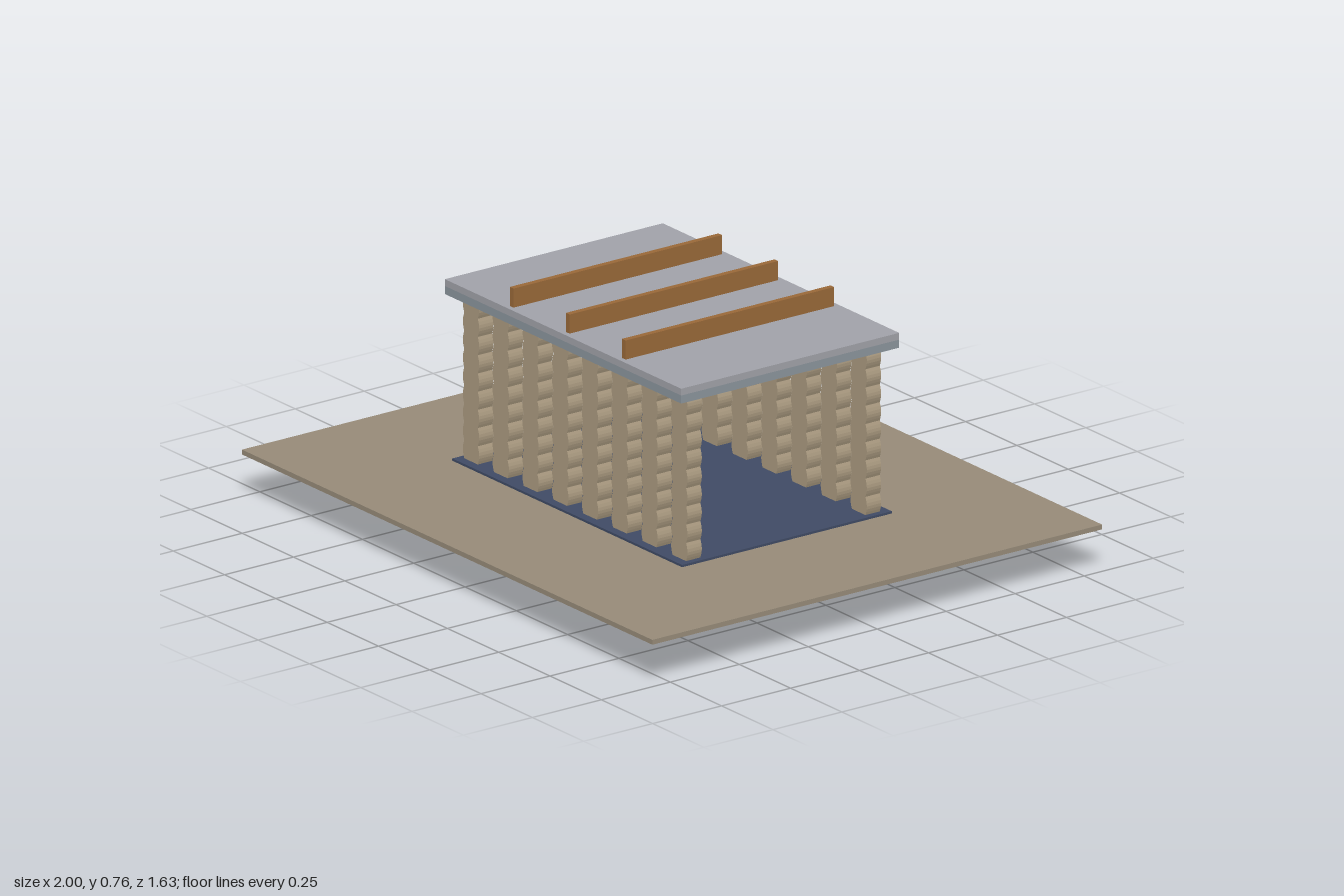
import * as THREE from 'three';

const mat = (color) => new THREE.MeshStandardMaterial({ color });
const tan = mat(0x968a78);
const stone = mat(0xaa9a80);
const ochre = mat(0xa88a2c);
const paleGrey = mat(0xa0a1a8);
const blueGrey = mat(0x8a949c);
const navy = mat(0x3f4a64);
const wood = mat(0x986838);

export function createModel() {
  const model = new THREE.Group();

  // Box given by half extents in x and z, and a bottom and top height
  const slab = (name, material, hx, hz, y0, y1, x = 0, z = 0) => {
    const mesh = new THREE.Mesh(new THREE.BoxGeometry(hx * 2, y1 - y0, hz * 2), material);
    mesh.position.set(x, (y0 + y1) / 2, z);
    mesh.name = name;
    model.add(mesh);
  };

  // Stepped foundation
  slab('lowerFoundation', paleGrey, 0.585, 0.402, 0.001, 0.065);
  slab('upperFoundation', blueGrey, 0.57, 0.388, 0.065, 0.11);

  // Crossing sill beams, their ends standing proud at the corners
  for (const s of [-1, 1]) {
    slab('longSill', ochre, 0.598, 0.05, 0, 0.14, 0, s * 0.33);
    slab('crossSill', ochre, 0.05, 0.415, 0, 0.139, s * 0.51, 0);
  }

  // Ground plate and floor
  slab('ground', tan, 1, 0.815, 0.13, 0.145);
  slab('floor', navy, 0.56, 0.38, 0.145, 0.152);

  // Column: scalloped outline in x, straight in z
  const y0 = 0.152, y1 = 0.66, bulges = 9, steps = 6;
  const side = [];
  for (let i = 0; i <= bulges * steps; i++) {
    const t = i / steps;
    const halfWidth = 0.033 + 0.007 * Math.abs(Math.sin(Math.PI * t));
    side.push(new THREE.Vector2(halfWidth, y0 + (y1 - y0) * t / bulges));
  }
  const outline = new THREE.Shape([
    ...side,
    ...side.map((p) => new THREE.Vector2(-p.x, p.y)).reverse(),
  ]);
  const columnGeometry = new THREE.ExtrudeGeometry(outline, { depth: 0.052, bevelEnabled: false });
  columnGeometry.translate(0, 0, -0.026);

  // Two rows of eight columns
  for (const z of [-0.325, 0.325]) {
    for (let i = 0; i < 8; i++) {
      const column = new THREE.Mesh(columnGeometry, stone);
      column.position.set((i - 3.5) * 0.145, 0, z);
      column.name = 'column';
      model.add(column);
    }
  }

  // Two-layer roof with three ridge boards
  slab('roofUnderside', blueGrey, 0.576, 0.395, 0.66, 0.685);
  slab('roofTop', paleGrey, 0.576, 0.395, 0.685, 0.706);
  for (const x of [-0.273, 0, 0.273]) {
    slab('roofBoard', wood, 0.009, 0.378, 0.706, 0.765, x);
  }

  return model;
}
